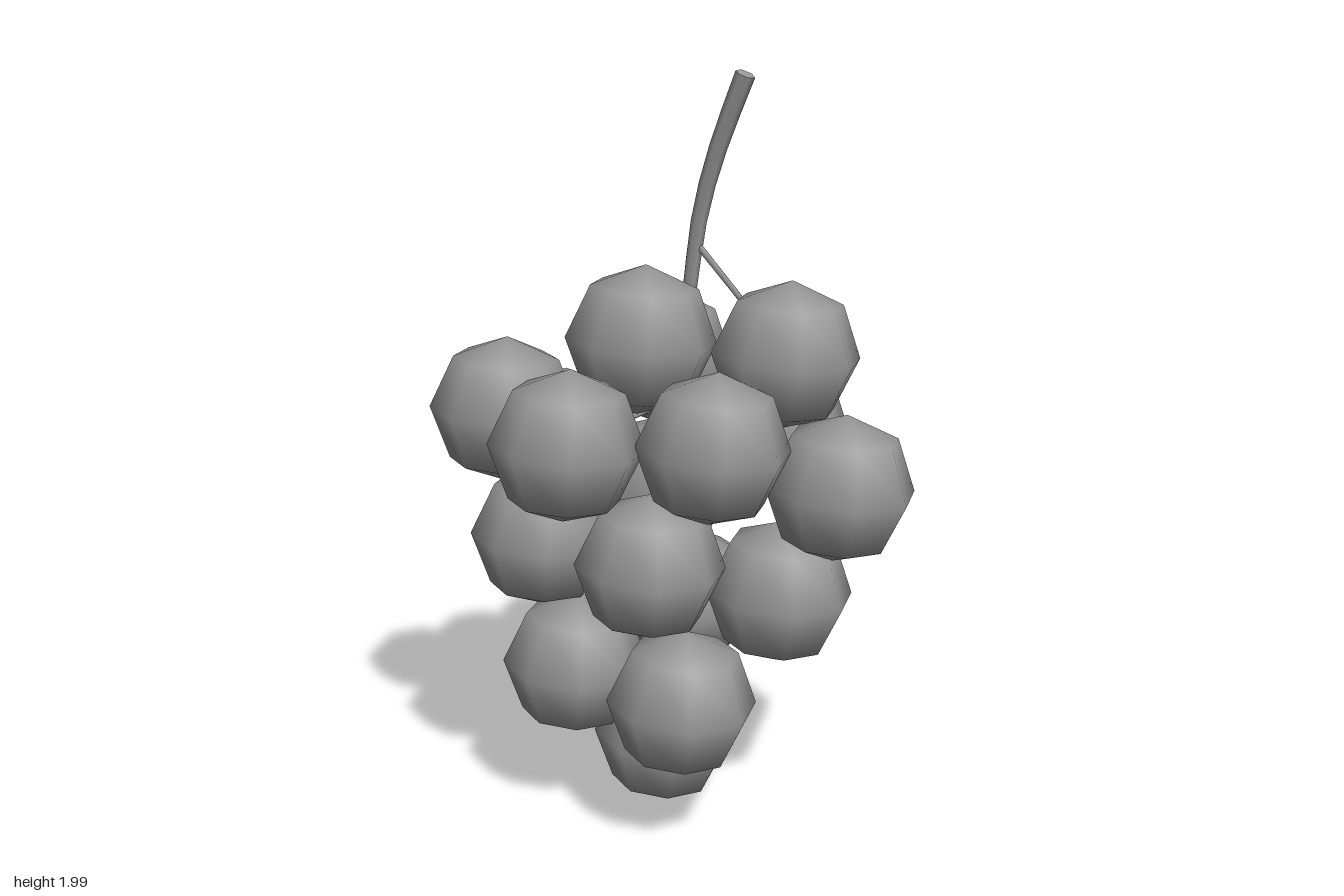
import * as THREE from 'three';

const V = (a) => new THREE.Vector3(...a);

// Tube along a smooth curve whose radius runs from r0 to r1
function taperedTube(points, segments, sides, r0, r1, material) {
  const curve = new THREE.CatmullRomCurve3(points);
  const geometry = new THREE.TubeGeometry(curve, segments, 1, sides, false);
  const pos = geometry.attributes.position;
  const p = new THREE.Vector3();
  for (let i = 0; i < pos.count; i++) {
    const t = Math.floor(i / (sides + 1)) / segments;
    const c = curve.getPointAt(t);
    p.fromBufferAttribute(pos, i).sub(c).multiplyScalar(THREE.MathUtils.lerp(r0, r1, t)).add(c);
    pos.setXYZ(i, p.x, p.y, p.z);
  }
  return { curve, mesh: new THREE.Mesh(geometry, material) };
}

export function createModel() {
  const group = new THREE.Group();
  group.name = 'grapeBunch';
  const grey = new THREE.MeshStandardMaterial({ color: 0x969696 });

  // Main stem: curved handle on top, thinning down through the bunch
  const path = [
    [0.126, 1.984, -0.168], [0.048, 1.8, -0.168], [-0.002, 1.64, -0.167], [-0.026, 1.5, -0.166],
    [-0.062, 1.2, -0.166], [-0.08, 0.9, -0.16], [-0.05, 0.6, -0.16],
  ].map(V);
  const stem = taperedTube(path, 14, 6, 0.026, 0.008, grey);
  stem.mesh.name = 'stem';
  group.add(stem.mesh);

  // Flat cut at the top of the stem
  const cut = new THREE.Mesh(new THREE.CircleGeometry(0.026, 6), grey);
  cut.name = 'stemCut';
  cut.position.copy(path[0]);
  cut.quaternion.setFromUnitVectors(new THREE.Vector3(0, 0, 1), stem.curve.getTangentAt(0).negate());
  group.add(cut);

  // Grape centres, from the top tier to the lowest grape
  const centres = [
    [0.248, 1.28, -0.19], [-0.045, 1.325, 0.04], [-0.22, 1.19, -0.3],
    [-0.055, 1.115, 0.34], [-0.4, 1.115, 0.17], [0.245, 1.11, 0.14],
    [0.135, 1.04, -0.34], [0.438, 0.965, -0.155], [-0.445, 0.96, -0.13],
    [-0.12, 0.87, -0.16], [-0.285, 0.78, 0.155], [0.075, 0.775, 0.17],
    [0.285, 0.66, -0.12], [-0.045, 0.555, -0.17], [-0.18, 0.44, 0.16],
    [0.17, 0.42, 0.165], [-0.02, 0.202, -0.03],
  ].map(V);

  // Coarse eight-sided spheres, all tilted slightly
  const grapeGeometry = new THREE.SphereGeometry(0.196, 8, 4);
  const stemSamples = stem.curve.getSpacedPoints(40);

  centres.forEach((centre, i) => {
    const grape = new THREE.Mesh(grapeGeometry, grey);
    grape.name = `grape${i + 1}`;
    grape.position.copy(centre);
    grape.rotation.set(-0.05, -0.05, -0.05);
    group.add(grape);

    // Thin twig to the stem: the first grape hangs from above, the rest join inside the bunch
    const rootY = i === 0 ? 1.56 : Math.min(centre.y, 1.12);
    const root = stemSamples.reduce((a, b) => (Math.abs(b.y - rootY) < Math.abs(a.y - rootY) ? b : a));
    const twig = taperedTube([root, centre], 1, 5, 0.009, 0.007, grey).mesh;
    twig.name = `twig${i + 1}`;
    group.add(twig);
  });

  return group;
}
